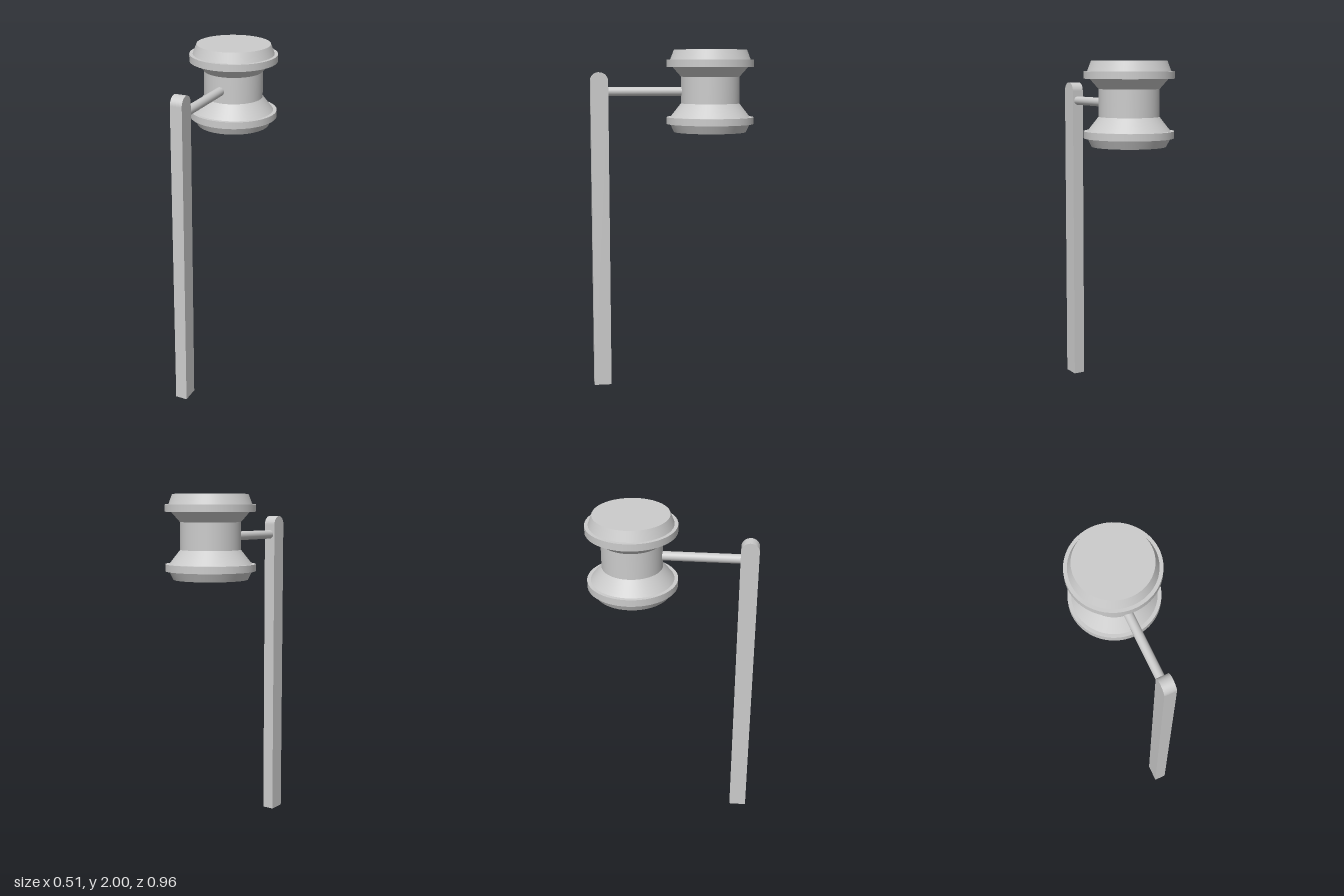
import * as THREE from 'three';

const material = new THREE.MeshStandardMaterial({ color: 0xcccccc });

// Adds a named mesh to its parent
function add(parent, name, geometry, x = 0, y = 0, z = 0) {
  const mesh = new THREE.Mesh(geometry, material);
  mesh.name = name;
  mesh.position.set(x, y, z);
  parent.add(mesh);
  return mesh;
}

// Lathe with sharp rims: inner profile points are doubled so normals do not blend
function sharpLathe(profile, segments) {
  const points = profile.flatMap(([r, y], i) => {
    const ends = i === 0 || i === profile.length - 1;
    return ends ? [new THREE.Vector2(r, y)] : [new THREE.Vector2(r, y), new THREE.Vector2(r, y)];
  });
  return new THREE.LatheGeometry(points, segments);
}

export function createModel() {
  const model = new THREE.Group();
  model.name = 'hammer';
  const postX = -0.006, postZ = 0.428;

  // Post: flat bar with a rounded top, extruded across its width
  const half = 0.051, width = 0.07, shoulder = 1.82;
  const outline = new THREE.Shape();
  outline.moveTo(-half, 0);
  outline.lineTo(half, 0);
  outline.lineTo(half, shoulder);
  outline.absarc(0, shoulder, half, 0, Math.PI, false);
  outline.closePath();
  const postGeometry = new THREE.ExtrudeGeometry(outline, { depth: width, bevelEnabled: false, curveSegments: 16 });
  postGeometry.translate(0, 0, -width / 2).rotateY(Math.PI / 2);
  add(model, 'post', postGeometry, postX, 0, postZ);

  // Rod joining the post to the drum
  const rodStart = 0.4, rodEnd = -0.08;
  const rod = new THREE.CylinderGeometry(0.026, 0.026, rodStart - rodEnd, 24).rotateX(Math.PI / 2);
  add(model, 'connectingRod', rod, postX, 1.76, (rodStart + rodEnd) / 2);

  // Drum: waisted body with a flange and tapered cap at each end
  const drum = sharpLathe([
    [0, 1.522], [0.212, 1.522], [0.236, 1.57],
    [0.256, 1.57], [0.256, 1.61], [0.235, 1.61],
    [0.172, 1.69], [0.172, 1.845], [0.222, 1.902],
    [0.256, 1.902], [0.256, 1.943], [0.236, 1.943],
    [0.214, 2], [0, 2],
  ], 64);
  add(model, 'drum', drum, 0, 0, -0.224);

  return model;
}
